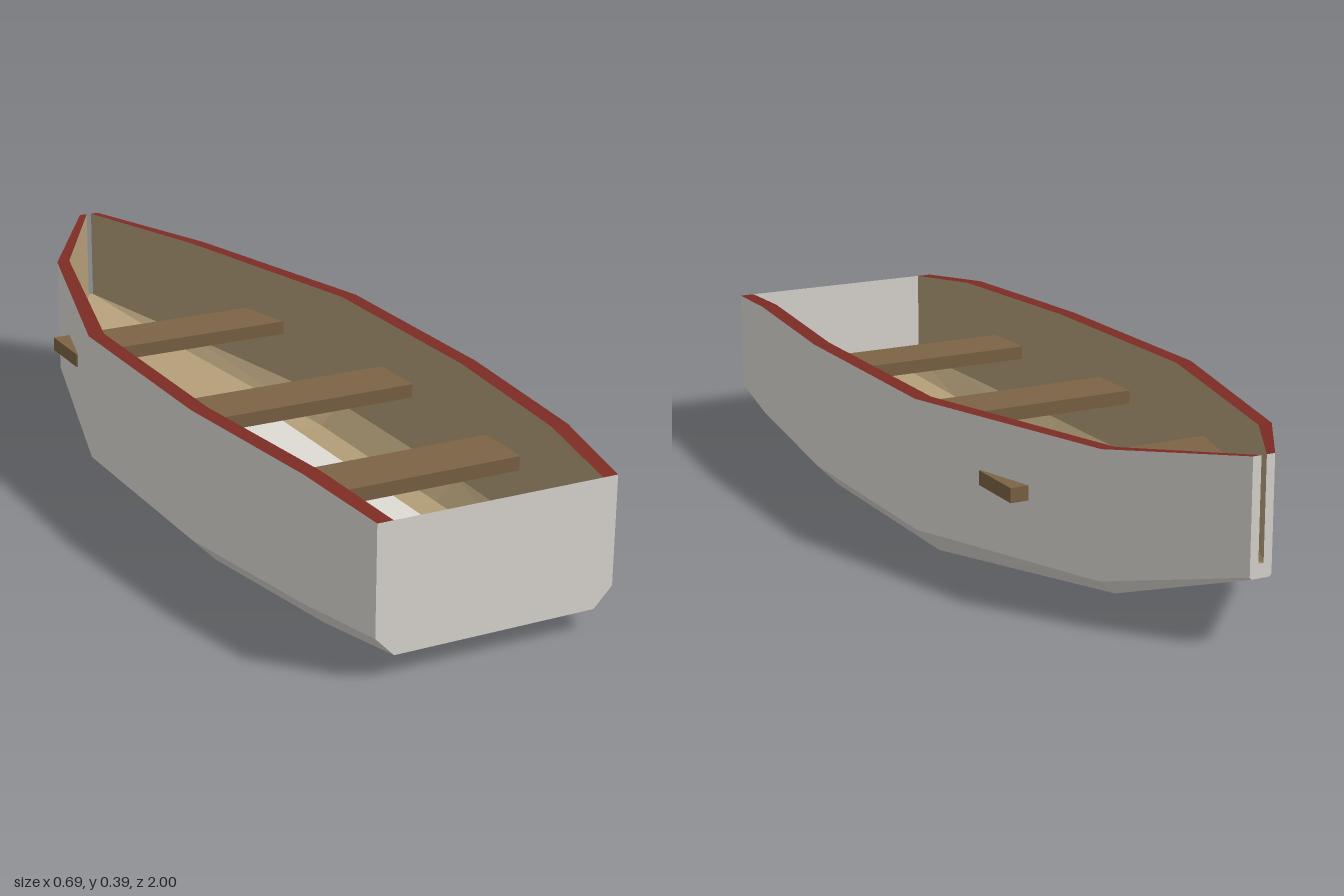
import * as THREE from 'three';

const paint = (name, color) => new THREE.MeshStandardMaterial({ name, color, side: THREE.DoubleSide, flatShading: true });

// Hull stations: z, outer half width, bottom half width, bottom y, chine y, sheer y, inner half width, floor half width
const STATIONS = [
  [1.0, 0.27, 0.228, 0.045, 0.088, 0.325, 0.235, 0.195],
  [0.77, 0.305, 0.255, 0.022, 0.075, 0.348, 0.266, 0.222],
  [0.35, 0.345, 0.291, 0, 0.055, 0.348, 0.307, 0.255],
  [-0.19, 0.345, 0.291, 0, 0.055, 0.348, 0.307, 0.255],
  [-0.73, 0.2, 0.165, 0.052, 0.083, 0.358, 0.168, 0.138],
  [-1.0, 0.025, 0.02, 0.142, 0.147, 0.39, 0.006, 0.005],
];
const FLOOR = 0.03;

// Mirrors a half section (top to bottom) into a full one running from -x to +x
const mirror = (half) => [
  ...half.map(([x, y, z]) => [-x, y, z]),
  ...half.slice().reverse(),
];
const outerSection = ([z, w, wb, yb, yc, ys]) => mirror([[w, ys, z], [w, yc, z], [wb, yb, z]]);
const innerSection = ([z, , , yb, yc, ys, wi, wf]) =>
  mirror([[wi, ys, z], [wi, yc + FLOOR * 0.8, z], [wf, yb + FLOOR, z]]);

// Surface of quads between successive rows of points
function skin(rows, flip = false) {
  const pos = [];
  for (let i = 0; i < rows.length - 1; i++) {
    for (let j = 0; j < rows[i].length - 1; j++) {
      const a = rows[i][j], b = rows[i][j + 1], c = rows[i + 1][j + 1], d = rows[i + 1][j];
      const order = flip ? [a, c, b, a, d, c] : [a, b, c, a, c, d];
      order.forEach((p) => pos.push(...p));
    }
  }
  const g = new THREE.BufferGeometry();
  g.setAttribute('position', new THREE.Float32BufferAttribute(pos, 3));
  g.computeVertexNormals();
  return g;
}

export function createModel() {
  const boat = new THREE.Group();
  boat.name = 'rowingBoat';
  const hullPaint = paint('hull white', 0xdedad4);
  const liningPaint = paint('lining tan', 0xb29d78);
  const railPaint = paint('rail red', 0x7c2c24);
  const benchPaint = paint('bench brown', 0x7c6344);

  const add = (name, geometry, material) => {
    const mesh = new THREE.Mesh(geometry, material);
    mesh.name = name;
    boat.add(mesh);
    return mesh;
  };

  // Outer and inner shells
  const outer = STATIONS.map(outerSection);
  const inner = STATIONS.map(innerSection);
  add('hull', skin(outer, true), hullPaint);
  add('lining', skin(inner), liningPaint);

  // Edge of the planking at the slotted bow
  add('bowEdge', skin([outer.at(-1), inner.at(-1)], true), hullPaint);

  // Flat transom closing the stern
  const outline = new THREE.Shape(outer[0].map(([x, y]) => new THREE.Vector2(x, y)));
  add('transom', new THREE.ShapeGeometry(outline), hullPaint).position.z = 1;

  // Top rails, left and right
  for (const s of [1, -1]) {
    const rows = STATIONS.map(([z, w, , , , ys, wi]) => [[s * wi, ys, z], [s * w, ys, z]]);
    add(s > 0 ? 'leftRail' : 'rightRail', skin(rows, s < 0), railPaint);
  }

  // Floor panel
  add('floorPanel', new THREE.BoxGeometry(0.35, 0.034, 0.78), hullPaint).position.set(0, 0.023, 0.11);

  // Benches; the one nearest the bow pokes through the planking
  [[-0.46, 0.59], [0.08, 0.61], [0.57, 0.565]].forEach(([z, width], i) => {
    add('bench' + (i + 1), new THREE.BoxGeometry(width, 0.032, 0.14), benchPaint).position.set(0, 0.22, z);
  });

  return boat;
}
